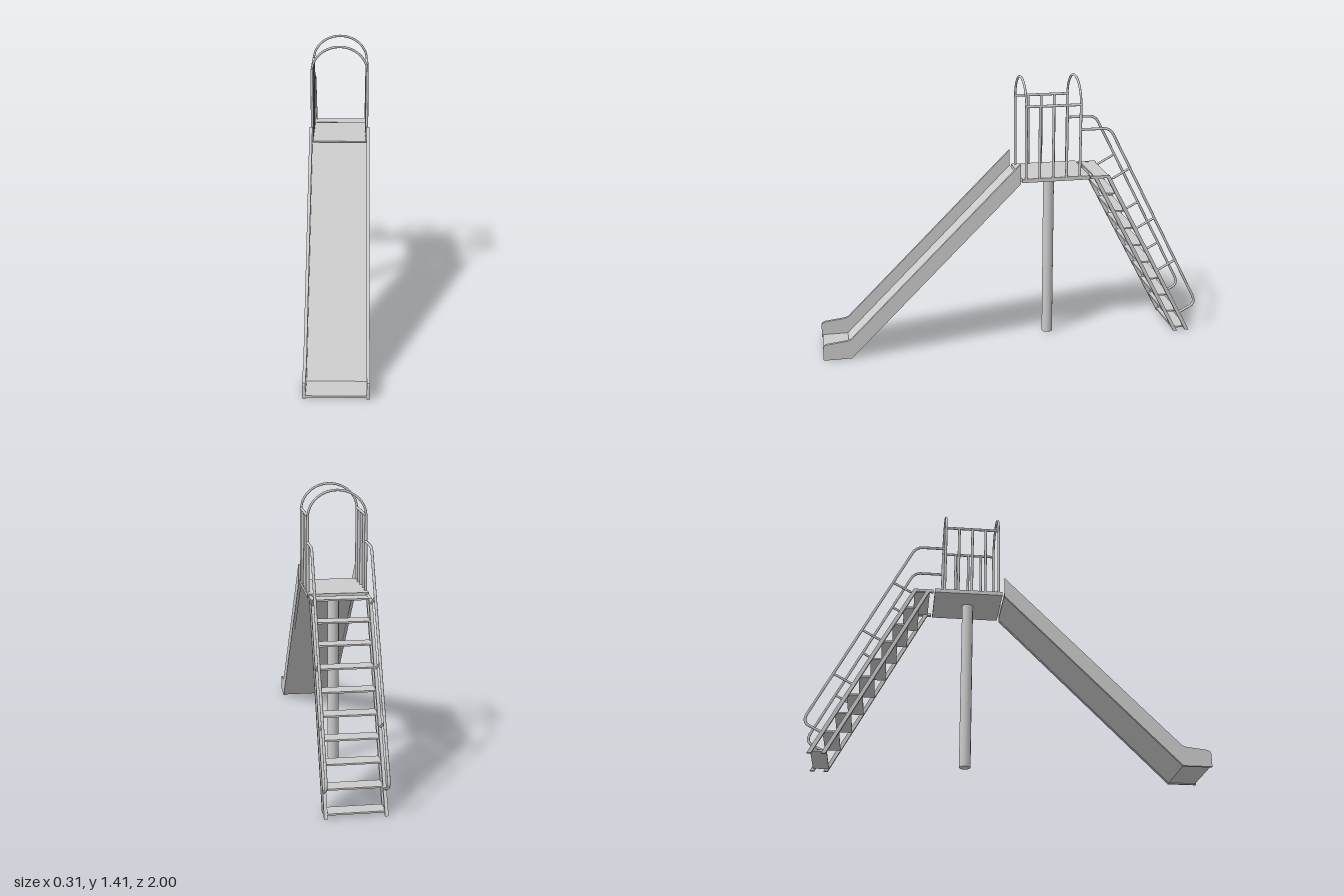
import * as THREE from 'three';

export function createModel() {
  const model = new THREE.Group();
  model.name = 'playgroundSlide';
  const material = new THREE.MeshStandardMaterial({ color: 0xcccccc, side: THREE.DoubleSide });
  const RAIL_X = 0.142;
  const TUBE_R = 0.007;

  function add(name, geometry, parent = model) {
    const mesh = new THREE.Mesh(geometry, material);
    mesh.name = name;
    parent.add(mesh);
    return mesh;
  }

  function group(name) {
    const g = new THREE.Group();
    g.name = name;
    model.add(g);
    return g;
  }

  function box(name, w, h, d, x, y, z, parent) {
    add(name, new THREE.BoxGeometry(w, h, d), parent).position.set(x, y, z);
  }

  // Extrudes a [z, y] outline across x, centred on the given x
  function slab(name, outline, width, x, parent) {
    const shape = new THREE.Shape(outline.map(([z, y]) => new THREE.Vector2(z, y)));
    const geometry = new THREE.ExtrudeGeometry(shape, { depth: width, bevelEnabled: false });
    geometry.rotateY(-Math.PI / 2);
    geometry.translate(x + width / 2, 0, 0);
    add(name, geometry, parent);
  }

  // Straight round bar between two points
  function bar(name, a, b, parent, r = TUBE_R) {
    const start = new THREE.Vector3(...a);
    const end = new THREE.Vector3(...b);
    const mesh = add(name, new THREE.CylinderGeometry(r, r, start.distanceTo(end), 12), parent);
    mesh.position.copy(start).add(end).multiplyScalar(0.5);
    mesh.quaternion.setFromUnitVectors(new THREE.Vector3(0, 1, 0), end.sub(start).normalize());
  }

  // Chute: thin bed between two side panels
  const chute = group('chute');
  slab('chuteBed', [
    [-0.03, 0.892], [0.856, 0.004], [0.995, 0.004], [0.995, 0.013], [0.862, 0.013], [-0.03, 0.907],
  ], 0.285, 0, chute);
  const panel = [
    [-0.03, 0.885], [0.855, 0], [1, 0], [1, 0.068], [0.995, 0.079], [0.98, 0.086],
    [0.875, 0.098], [0.855, 0.105], [-0.03, 0.99],
  ];
  for (const s of [-1, 1]) slab('chuteSide', panel, 0.015, s * 0.1475, chute);

  // Platform and its single support post
  box('platform', 0.3, 0.02, 0.35, 0, 0.9, -0.215);
  bar('supportPost', [0, 0, -0.21], [0, 0.89, -0.21], model, 0.029);

  // Side railings
  const zFront = -0.06, zBack = -0.34;
  for (const s of [-1, 1]) {
    const railing = group(s > 0 ? 'leftRailing' : 'rightRailing');
    const x = s * RAIL_X;
    for (let i = 0; i < 5; i++) {
      const z = zFront + (zBack - zFront) * i / 4;
      bar('railingBar', [x, 0.9, z], [x, 1.28, z], railing);
    }
    bar('railingTop', [x, 1.28, zFront + 0.006], [x, 1.28, zBack - 0.006], railing);
  }

  // Arches over the entry and exit
  for (const z of [zFront, zBack]) {
    const points = [];
    for (let i = 0; i <= 16; i++) {
      const t = Math.PI * i / 16;
      points.push(new THREE.Vector3(RAIL_X * Math.cos(t), 1.275 + 0.129 * Math.sin(t), z));
    }
    add('arch', new THREE.TubeGeometry(new THREE.CatmullRomCurve3(points), 40, 0.006, 10));
  }

  // Ladder: paired stringers on each side with flat treads between
  const ladder = group('ladder');
  const topY = 0.905;
  const run = 0.475; // how far the ladder leans out over its height
  for (const s of [-1, 1]) {
    for (const z of [-0.41, -0.477]) {
      slab('stringer', [
        [z, topY], [z - run, 0], [z - run - 0.021, 0], [z - 0.021, topY],
      ], 0.016, s * 0.139, ladder);
    }
  }
  for (let i = 0; i < 10; i++) {
    const y = 0.9 - i * 0.0982;
    const z = -0.415 - run * (1 - y / topY);
    box('tread', 0.27, 0.008, 0.078, 0, y, z - 0.037, ladder);
  }
  for (const s of [-1, 1]) box('ladderTopBracket', 0.016, 0.014, 0.1, s * 0.139, 0.898, -0.447, ladder);

  // Handrails: bent tubes with three struts each
  for (const s of [-1, 1]) {
    const handrail = group(s > 0 ? 'leftHandrail' : 'rightHandrail');
    const x = s * RAIL_X;
    const v = (z, y) => new THREE.Vector3(x, y, z);
    const path = new THREE.CurvePath();
    path.add(new THREE.LineCurve3(v(-0.34, 1.152), v(-0.46, 1.152)));
    path.add(new THREE.QuadraticBezierCurve3(v(-0.46, 1.152), v(-0.495, 1.152), v(-0.514, 1.115)));
    path.add(new THREE.LineCurve3(v(-0.514, 1.115), v(-0.982, 0.205)));
    path.add(new THREE.QuadraticBezierCurve3(v(-0.982, 0.205), v(-1.009, 0.155), v(-0.97, 0.136)));
    path.add(new THREE.LineCurve3(v(-0.97, 0.136), v(-0.912, 0.107)));
    add('handrailTube', new THREE.TubeGeometry(path, 120, TUBE_R, 10), handrail);
    for (const [z, y] of [[-0.605, 0.935], [-0.748, 0.657], [-0.874, 0.412]]) {
      bar('handrailStrut', [x, y, z], [x, y - 0.05, z + 0.093], handrail, 0.006);
    }
  }

  return model;
}
